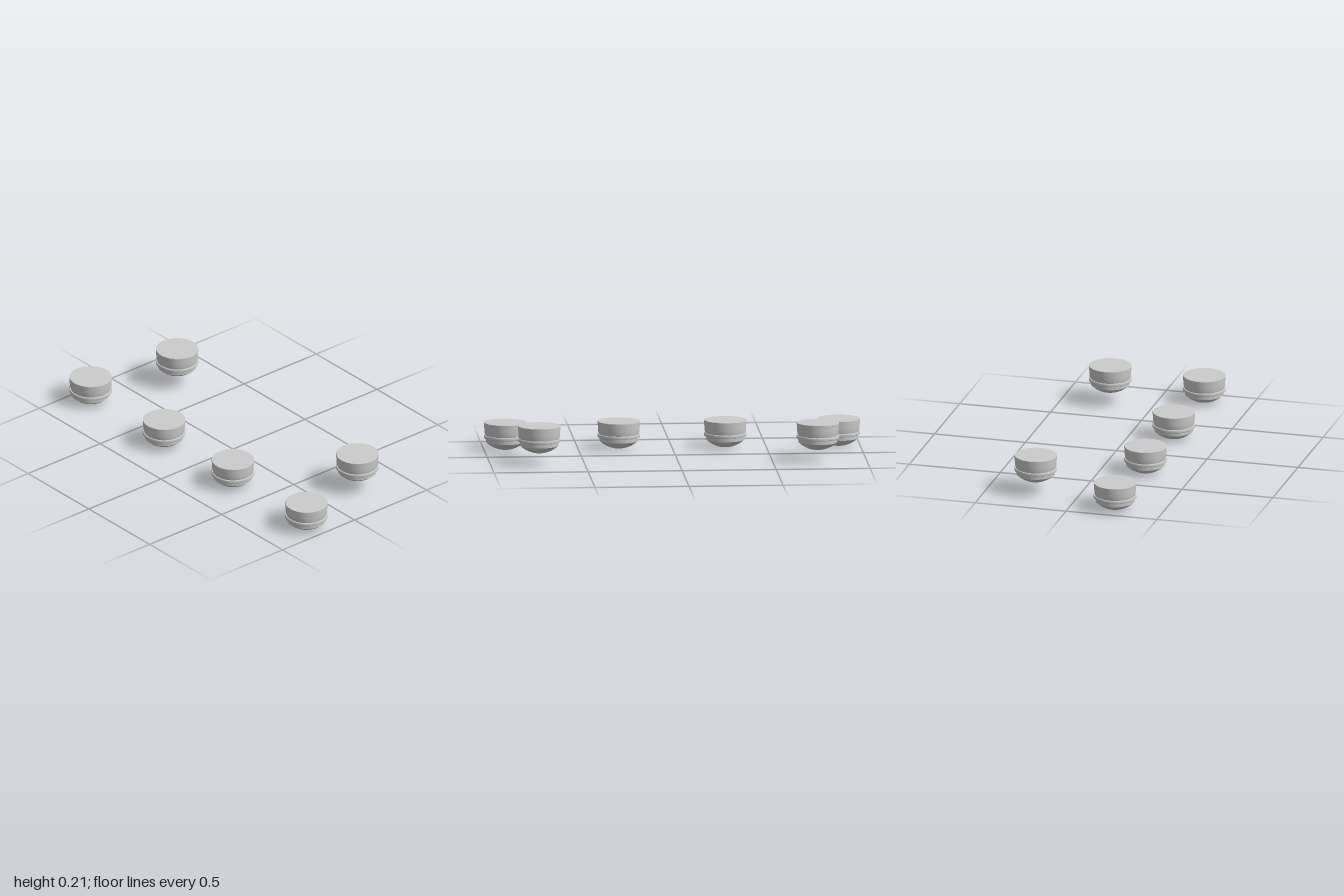
import * as THREE from 'three';

const SIDES = 48;
const material = new THREE.MeshStandardMaterial({ color: 0xcccccc });

// Each band is a separate lathe so the edges between bands stay sharp.
function band(name, profile) {
  const points = profile.map(([r, y]) => new THREE.Vector2(r, y));
  const mesh = new THREE.Mesh(new THREE.LatheGeometry(points, SIDES), material);
  mesh.name = name;
  return mesh;
}

// Shallow spherical cap, from the lowest point out to its rim
function domeProfile(rim, height, steps = 8) {
  const R = (rim * rim + height * height) / (2 * height);
  const sweep = Math.asin(rim / R);
  return Array.from({ length: steps + 1 }, (_, i) => {
    const a = (sweep * i) / steps;
    return [R * Math.sin(a), R * (1 - Math.cos(a))];
  });
}

function createFoot() {
  const foot = new THREE.Group();
  foot.name = 'foot';
  foot.add(
    band('dome', domeProfile(0.085, 0.027)),
    band('lowerChamfer', [[0.085, 0.027], [0.102, 0.041]]),
    band('lowerBody', [[0.102, 0.041], [0.103, 0.062]]),
    // Raised ring with rounded rim
    band('ringUnderside', [[0.103, 0.062], [0.111, 0.062]]),
    band('ringRim', [[0.111, 0.062], [0.1135, 0.065], [0.1135, 0.076], [0.111, 0.079]]),
    band('ringTop', [[0.111, 0.079], [0.106, 0.079]]),
    // Slightly flared cup with a flat lid
    band('cup', [[0.106, 0.079], [0.109, 0.09], [0.111, 0.11], [0.113, 0.145]]),
    band('cupEdge', [[0.113, 0.145], [0.112, 0.147]]),
    band('lid', [[0.112, 0.147], [0, 0.147]]),
  );
  return foot;
}

export function createModel() {
  const model = new THREE.Group();
  model.name = 'feet';

  // Four low feet along one side, two raised feet along the other
  const layout = [
    { x: -0.239, y: 0, z: 0.887 },
    { x: -0.239, y: 0, z: 0.283 },
    { x: 0.238, y: 0.06, z: 0.741 },
  ];
  for (const { x, y, z } of layout) {
    for (const side of [1, -1]) {
      const foot = createFoot();
      foot.position.set(x, y, z * side);
      model.add(foot);
    }
  }
  return model;
}
